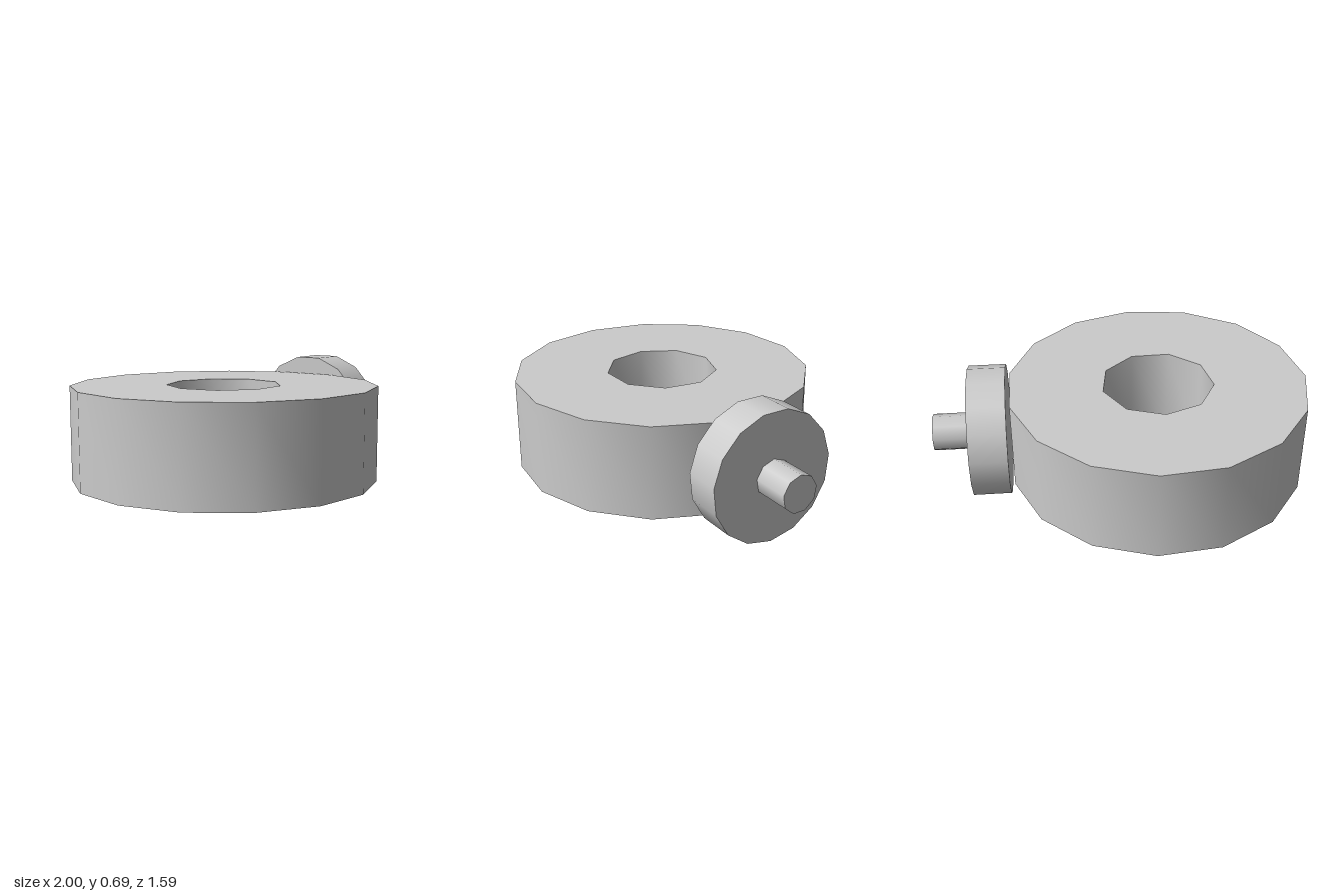
import * as THREE from 'three';
import { toCreasedNormals } from 'three/addons/utils/BufferGeometryUtils.js';

const material = new THREE.MeshStandardMaterial({ color: 0xcccccc });

// Corners of a regular polygon, first corner at the given angle
function polygon(radius, sides, start) {
  return Array.from({ length: sides }, (_, i) => {
    const a = start + (i / sides) * Math.PI * 2;
    return new THREE.Vector2(radius * Math.cos(a), radius * Math.sin(a));
  });
}

function addPart(group, name, geometry, x, y) {
  const mesh = new THREE.Mesh(geometry, material);
  mesh.name = name;
  mesh.position.set(x, y, 0);
  group.add(mesh);
}

// Cylinder lying along x
function axle(radius, length, sides, thetaStart) {
  return new THREE.CylinderGeometry(radius, radius, length, sides, 1, false, thetaStart)
    .rotateZ(-Math.PI / 2);
}

export function createModel() {
  const group = new THREE.Group();
  group.name = 'ringWithSideKnob';

  // Thick ring with a nine-sided bore
  const shape = new THREE.Shape(polygon(0.8, 15, Math.PI));
  shape.holes.push(new THREE.Path(polygon(0.3, 9, THREE.MathUtils.degToRad(-28.4))));
  const ring = new THREE.ExtrudeGeometry(shape, { depth: 0.5, bevelEnabled: false })
    .rotateX(-Math.PI / 2);
  addPart(group, 'ring', toCreasedNormals(ring, Math.PI / 3), -0.2, 0.1);

  // Upright disc beside the ring, one corner pointing down
  addPart(group, 'disc', axle(0.35, 0.2, 15, Math.PI / 2), 0.7, 0.35);

  // Small pin on the outer face of the disc, one corner pointing up
  addPart(group, 'pin', axle(0.1, 0.2, 9, -Math.PI / 2), 0.9, 0.35);

  return group;
}
